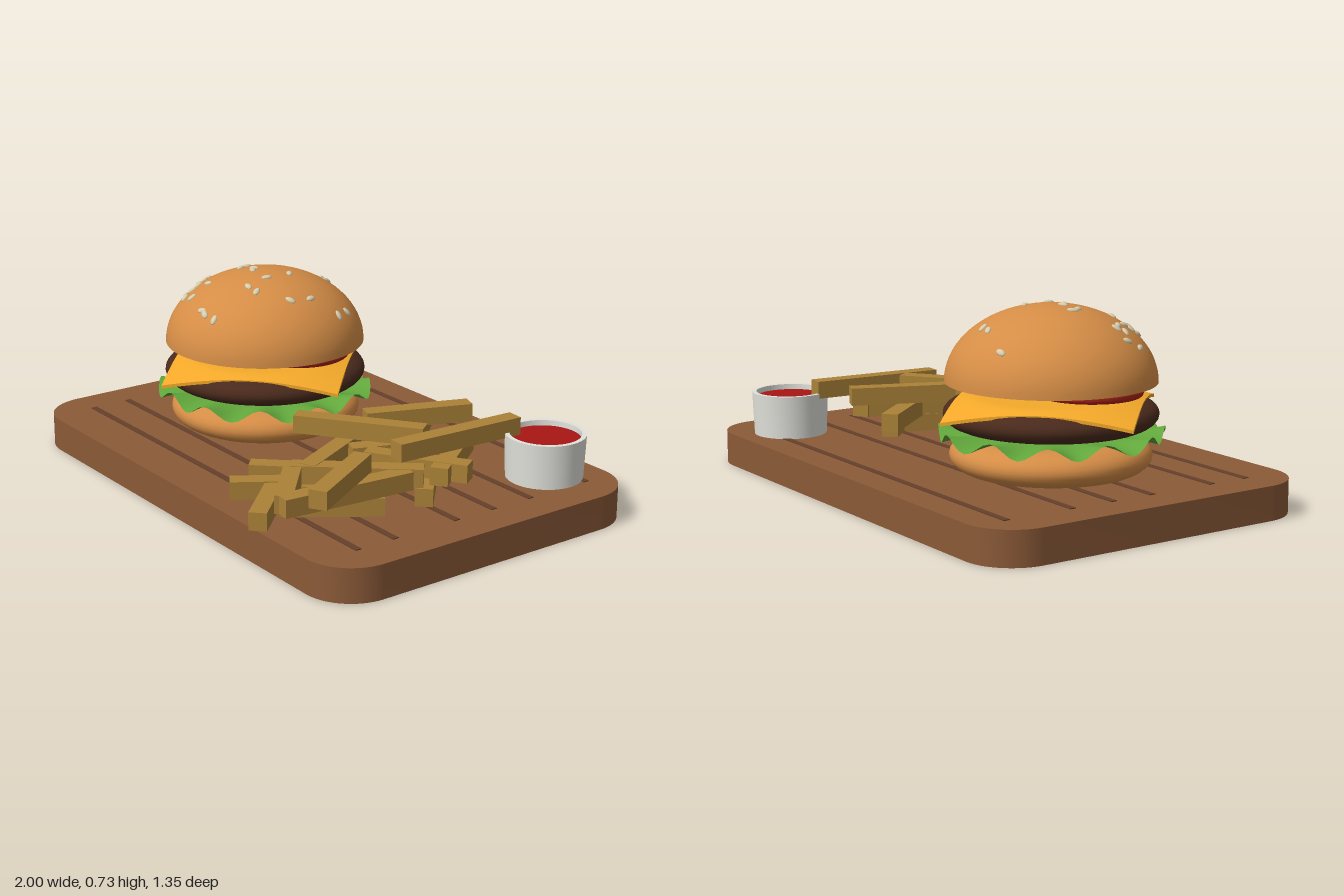
import * as THREE from 'three';
import { toCreasedNormals } from 'three/addons/utils/BufferGeometryUtils.js';

const mat = (color, extra = {}) => new THREE.MeshStandardMaterial({ color, ...extra });
const WOOD = mat(0x8b5a38), GROOVE = mat(0x66402a), BUN = mat(0xd58d46), SEED = mat(0xd6ccac);
const LETTUCE = mat(0x62a83c, { side: THREE.DoubleSide }), PATTY = mat(0x4a2a1c);
const CHEESE = mat(0xf5aa2a), TOMATO = mat(0xb02318), FRY = mat(0xab8238);
const CUP = mat(0xe2e2dc), SAUCE = mat(0xa81614);
const BOARD_TOP = 0.125;

function add(parent, name, geometry, material, x = 0, y = 0, z = 0) {
  const mesh = new THREE.Mesh(geometry, material);
  mesh.name = name;
  mesh.position.set(x, y, z);
  parent.add(mesh);
  return mesh;
}

// Turned solid from [radius, height] pairs, with sharp rims kept sharp
function turned(points, segments = 48) {
  const profile = points.map(([r, y]) => new THREE.Vector2(r, y));
  return toCreasedNormals(new THREE.LatheGeometry(profile, segments), 0.7);
}

// Disc of radius r from y0 to y1 whose side bulges outwards by "bulge"
function bulgedDisc(r, y0, y1, bulge) {
  const pts = [[0, y0]];
  for (let i = 0; i <= 12; i++) {
    const a = -Math.PI / 2 + (Math.PI * i) / 12;
    pts.push([r - bulge + bulge * Math.cos(a), (y0 + y1) / 2 + ((y1 - y0) / 2) * Math.sin(a)]);
  }
  pts.push([0, y1]);
  return turned(pts);
}

function makeBoard() {
  const board = new THREE.Group();
  board.name = 'cuttingBoard';
  const w = 1, d = 0.665, r = 0.18;
  const s = new THREE.Shape();
  s.absarc(w - r, d - r, r, 0, Math.PI / 2);
  s.absarc(-w + r, d - r, r, Math.PI / 2, Math.PI);
  s.absarc(-w + r, -d + r, r, Math.PI, Math.PI * 1.5);
  s.absarc(w - r, -d + r, r, Math.PI * 1.5, Math.PI * 2);
  const slab = new THREE.ExtrudeGeometry(s, { depth: BOARD_TOP, bevelEnabled: false, curveSegments: 12 });
  add(board, 'boardSlab', toCreasedNormals(slab.rotateX(-Math.PI / 2), 0.6), WOOD, 0, 0, -0.005);
  for (const z of [-0.54, -0.275, -0.105, 0.06, 0.325, 0.48])
    add(board, 'boardGroove', new THREE.BoxGeometry(1.73, 0.006, 0.024), GROOVE, 0, BOARD_TOP, z);
  return board;
}

// Wavy leaf ring: height ripples more strongly towards the rim
function lettuceGeometry() {
  const g = new THREE.RingGeometry(0.2, 0.405, 96, 6).rotateX(-Math.PI / 2);
  const p = g.attributes.position;
  for (let i = 0; i < p.count; i++) {
    const x = p.getX(i), z = p.getZ(i);
    const a = Math.atan2(z, x), t = (Math.hypot(x, z) - 0.2) / 0.205;
    const k = 1 + 0.02 * t * Math.sin(7 * a);
    p.setXYZ(i, x * k, t * t * 0.024 * Math.sin(12 * a), z * k);
  }
  g.computeVertexNormals();
  return g;
}

// Square slice turned to a diamond, its corners drooping over the patty
function cheeseGeometry() {
  const side = 0.47 * Math.SQRT2;
  const g = new THREE.BoxGeometry(side, 0.012, side, 24, 1, 24).rotateY(Math.PI / 4);
  const p = g.attributes.position;
  for (let i = 0; i < p.count; i++) {
    const r = Math.hypot(p.getX(i), p.getZ(i));
    p.setY(i, p.getY(i) - 0.27 * Math.max(0, r - 0.29));
  }
  return toCreasedNormals(g, 0.6);
}

function makeBurger() {
  const burger = new THREE.Group();
  burger.name = 'burger';
  burger.position.set(-0.37, 0, -0.005);
  add(burger, 'bottomBun', bulgedDisc(0.363, BOARD_TOP, 0.252, 0.1), BUN);
  add(burger, 'lettuce', lettuceGeometry(), LETTUCE, 0, 0.267, 0);
  add(burger, 'patty', bulgedDisc(0.385, 0.285, 0.388, 0.09), PATTY);
  add(burger, 'cheese', cheeseGeometry(), CHEESE, 0, 0.393, 0);
  for (const [x, z] of [[-0.12, 0.08], [0.13, -0.07]])
    add(burger, 'tomatoSlice', bulgedDisc(0.192, 0.408, 0.448, 0.012), TOMATO, x, 0, z);

  // Domed top bun
  const R = 0.38, H = 0.275, base = 0.45;
  const pts = [[0, base]];
  for (let i = 0; i <= 20; i++) {
    const a = (Math.PI / 2) * (i / 20);
    pts.push([R * Math.cos(a), base + H * Math.sin(a)]);
  }
  pts[21][0] = 0;
  add(burger, 'topBun', turned(pts, 64), BUN);

  // Sesame seeds lying on the dome, as [x, z] from its centre
  const seeds = [
    [-0.12, -0.3], [0.015, -0.26], [0.06, -0.25], [0.27, -0.19], [0.3, -0.13], [0.08, -0.06], [0.245, -0.04],
    [-0.11, 0.01], [-0.04, 0.02], [-0.02, 0.04], [-0.1, 0.04], [0.08, 0.045], [0.235, 0.045], [0.09, 0.135],
    [0.137, 0.13], [-0.275, 0.125], [-0.225, 0.115], [-0.23, 0.15], [-0.275, 0.18], [-0.17, 0.19],
    [-0.17, 0.22], [-0.1, 0.19], [-0.2, 0.14], [-0.165, 0.255], [-0.1, 0.265], [0.025, 0.3], [0.05, 0.305], [0.105, 0.3],
  ];
  const seedGeo = new THREE.SphereGeometry(1, 10, 8).scale(0.021, 0.008, 0.012);
  const up = new THREE.Vector3(0, 1, 0);
  seeds.forEach(([x, z], i) => {
    const h = H * Math.sqrt(1 - (x * x + z * z) / (R * R));
    const seed = add(burger, 'sesameSeed', seedGeo, SEED, x, base + h, z);
    const normal = new THREE.Vector3(x / (R * R), h / (H * H), z / (R * R)).normalize();
    seed.quaternion.setFromUnitVectors(up, normal);
    seed.rotateY(i * 2.4);
  });
  return burger;
}

// Three loose layers of fries, each as [centre x, centre z, length, run in x, run in z]
function makeFries() {
  const fries = new THREE.Group();
  fries.name = 'fries';
  const layers = [
    [[0.44, 0.55, 0.3, 38, 40], [0.25, 0.3, 0.32, 42, -45], [0.34, 0.42, 0.36, 38, -58], [0.33, 0.27, 0.34, 40, 45],
      [0.57, 0.37, 0.36, -42, 60], [0.56, -0.06, 0.42, 45, 42], [0.44, 0.1, 0.4, 20, -60]],
    [[0.65, 0.37, 0.5, 8, -80], [0.45, -0.05, 0.42, 22, -60], [0.6, 0.02, 0.38, 60, -38], [0.32, -0.2, 0.32, 42, 48],
      [0.54, 0.24, 0.46, 50, -58], [0.36, 0.22, 0.36, 30, 60], [0.5, 0.5, 0.32, 36, 32], [0.62, -0.12, 0.38, 40, 55]],
    [[0.61, -0.147, 0.52, 6, -98], [0.35, -0.18, 0.4, 25, -66], [0.345, 0.08, 0.48, 72, -53], [0.7, 0.43, 0.38, 36, 62]],
  ];
  layers.forEach((layer, level) => layer.forEach(([x, z, length, dx, dz], i) => {
    const fry = add(fries, 'fry', new THREE.BoxGeometry(length, 0.066, 0.064), FRY,
      x, BOARD_TOP + 0.034 + level * 0.073 + (i % 3) * 0.002, z);
    fry.rotation.y = Math.atan2(-dz, dx);
  }));
  return fries;
}

function makeDipCup() {
  const dip = new THREE.Group();
  dip.name = 'dipCup';
  dip.position.set(0.73, BOARD_TOP, -0.46);
  add(dip, 'cup', turned([[0, 0], [0.14, 0], [0.147, 0.165], [0.13, 0.165], [0.125, 0.02], [0, 0.02]]), CUP);
  add(dip, 'sauce', new THREE.CylinderGeometry(0.13, 0.126, 0.13, 48), SAUCE, 0, 0.08, 0);
  return dip;
}

export function createModel() {
  const model = new THREE.Group();
  model.name = 'burgerBoard';
  model.add(makeBoard(), makeBurger(), makeFries(), makeDipCup());
  return model;
}
